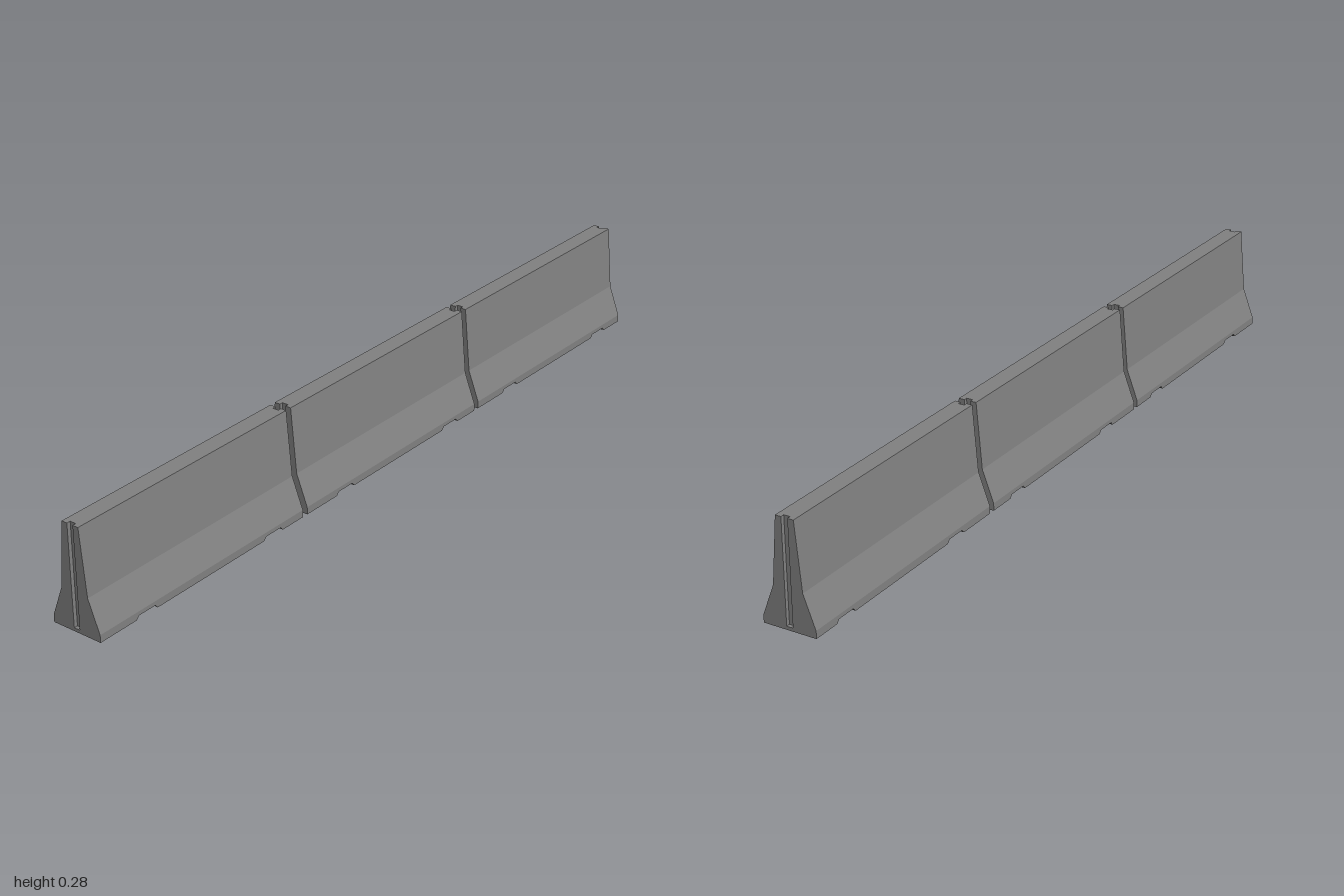
import * as THREE from 'three';

const concrete = new THREE.MeshStandardMaterial({ color: 0x808080, side: THREE.DoubleSide });
concrete.name = 'concrete grey';

const HALF = 0.355;            // half length of one barrier
const PITCH = 0.727;           // spacing of barriers
const HEIGHT = 0.277;
const NOTCH_Y = 0.009;
const NOTCHES = [-0.243, 0.203];
const SLOT = 0.0085;           // half width of the end groove
const DEPTH = 0.01;            // depth of the end groove
// Half cross-section as [x, y], foot to crown
const PROFILE = [[0.0715, 0], [0.0715, 0.02], [0.04, 0.103], [0.0245, HEIGHT]];

// Flat-faced sheet through rows of points
function sheet(rows, flip = false) {
  const p = [];
  for (let i = 0; i < rows.length - 1; i++) {
    for (let j = 0; j < rows[i].length - 1; j++) {
      const a = rows[i][j], b = rows[i][j + 1], c = rows[i + 1][j + 1], d = rows[i + 1][j];
      p.push(...(flip ? [a, c, b, a, d, c] : [a, b, c, a, c, d]).flat());
    }
  }
  const g = new THREE.BufferGeometry();
  g.setAttribute('position', new THREE.Float32BufferAttribute(p, 3));
  g.computeVertexNormals();
  return g;
}

function add(parent, name, geometry) {
  const mesh = new THREE.Mesh(geometry, concrete);
  mesh.name = name;
  parent.add(mesh);
  return mesh;
}

const shapeOf = pts => new THREE.ShapeGeometry(new THREE.Shape(pts.map(p => new THREE.Vector2(...p))));

function makeBarrier() {
  const barrier = new THREE.Group();

  // Foot line along the length, raised at the lifting notches
  const foot = [[-HALF, 0]];
  for (const z of NOTCHES) {
    foot.push([z - 0.035, 0], [z - 0.027, NOTCH_Y], [z + 0.027, NOTCH_Y], [z + 0.035, 0]);
  }
  foot.push([HALF, 0]);

  // Sloping sides
  for (const s of [1, -1]) {
    const rows = PROFILE.map(([x, y], i) => foot.map(([z, fy]) => [s * x, i ? y : fy, z]));
    add(barrier, s > 0 ? 'leftSide' : 'rightSide', sheet(rows, s > 0));
  }

  // Notch ceilings under the hollow body
  NOTCHES.forEach((_, i) => {
    const line = foot.slice(1 + i * 4, 5 + i * 4);
    add(barrier, 'liftingNotch', sheet([-1, 1].map(s => line.map(([z, y]) => [s * PROFILE[0][0], y, z])), true));
  });

  // Crown, cut by the groove at each end
  const w = PROFILE[3][0], e = HALF - DEPTH;
  const crown = shapeOf([
    [-w, -HALF], [-SLOT, -HALF], [-SLOT, -e], [SLOT, -e], [SLOT, -HALF], [w, -HALF],
    [w, HALF], [SLOT, HALF], [SLOT, e], [-SLOT, e], [-SLOT, HALF], [-w, HALF],
  ]);
  crown.rotateX(-Math.PI / 2);
  add(barrier, 'crown', crown).position.y = HEIGHT;

  // Ends with a vertical groove
  for (const turn of [0, Math.PI]) {
    const end = new THREE.Group();
    end.name = turn ? 'backEnd' : 'frontEnd';
    end.rotation.y = turn;
    const face = shapeOf([
      ...PROFILE,
      [SLOT, HEIGHT], [SLOT, NOTCH_Y], [-SLOT, NOTCH_Y], [-SLOT, HEIGHT],
      ...PROFILE.map(([x, y]) => [-x, y]).reverse(),
    ]);
    add(end, 'endFace', face).position.z = HALF;
    const path = [[-SLOT, HALF], [-SLOT, e], [SLOT, e], [SLOT, HALF]];
    add(end, 'groove', sheet([NOTCH_Y, HEIGHT].map(y => path.map(([x, z]) => [x, y, z]))));
    add(end, 'grooveFloor', sheet([HALF, e].map(z => [-SLOT, SLOT].map(x => [x, NOTCH_Y, z]))));
    barrier.add(end);
  }
  return barrier;
}

export function createModel() {
  const model = new THREE.Group();
  const row = new THREE.Group();
  row.name = 'barrierRow';
  row.rotation.y = -0.4625;
  ['backBarrier', 'middleBarrier', 'frontBarrier'].forEach((name, i) => {
    const barrier = makeBarrier();
    barrier.name = name;
    barrier.position.z = (i - 1) * PITCH;
    row.add(barrier);
  });
  model.add(row);
  return model;
}
